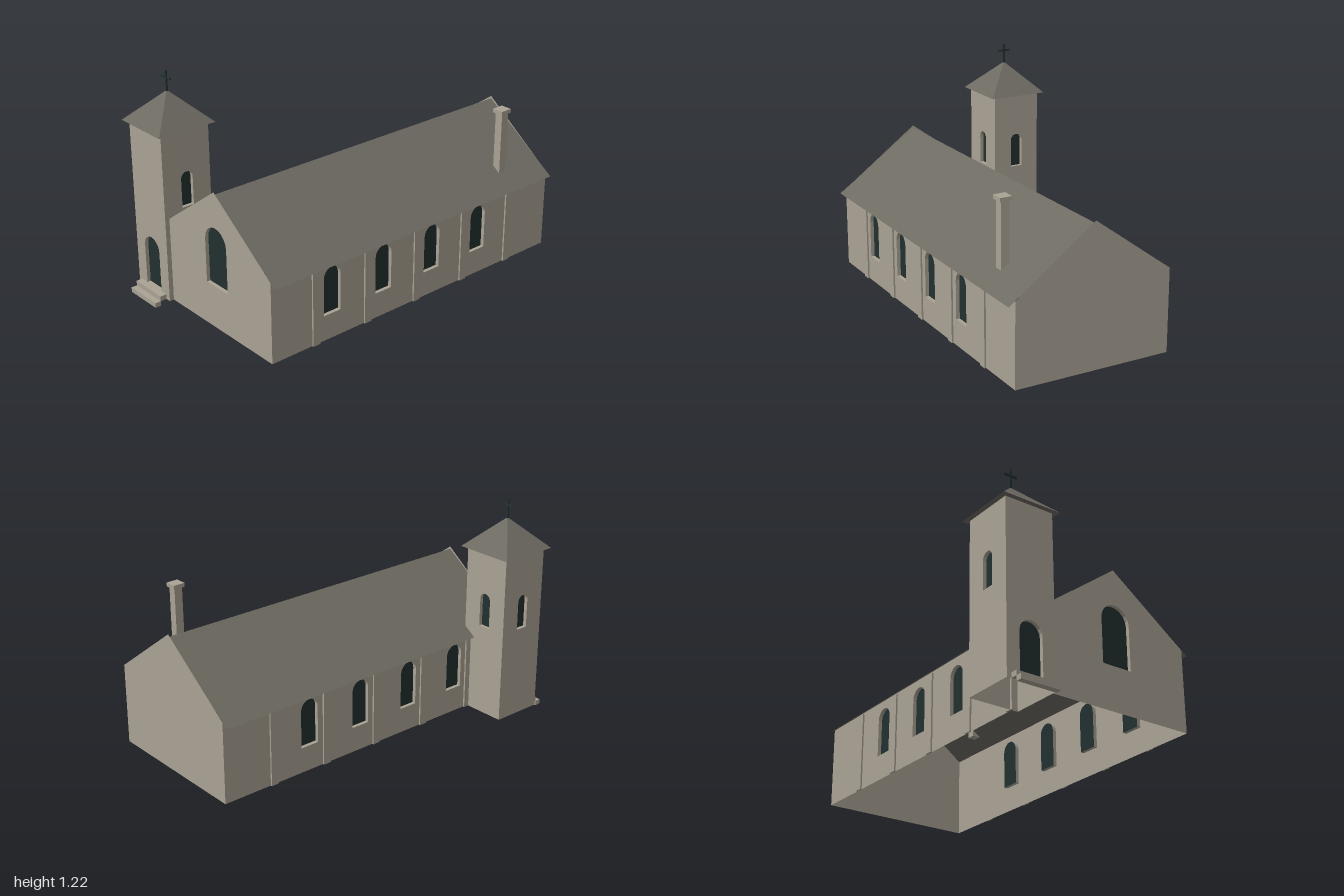
import * as THREE from 'three';

const wallMat = new THREE.MeshStandardMaterial({ name: 'stone', color: 0xaaa294, side: THREE.DoubleSide });
const roofMat = new THREE.MeshStandardMaterial({ name: 'roof slate', color: 0x6d6a61, side: THREE.DoubleSide });
const darkMat = new THREE.MeshStandardMaterial({ name: 'dark glass and iron', color: 0x22302f, side: THREE.DoubleSide });

const BASE = 0.026, EAVE = 0.465, RIDGE_X = 0.115;
const FRONT = 0.905, BACK = -1, RIGHT = 0.54, LEFT = -0.31;
const TX = -0.4125, TZ = 0.7875, TW = 0.1375, TD = 0.1425, TOP = 0.946; // tower

function mesh(parent, name, geometry, material) {
  const m = new THREE.Mesh(geometry, material);
  m.name = name;
  parent.add(m);
  return m;
}

// Box given by its minimum and maximum corners
function box(parent, name, a, b, material) {
  const m = mesh(parent, name, new THREE.BoxGeometry(b[0] - a[0], b[1] - a[1], b[2] - a[2]), material);
  m.position.set((a[0] + b[0]) / 2, (a[1] + b[1]) / 2, (a[2] + b[2]) / 2);
  return m;
}

// Outline of a round-headed opening: centre u, sill, head, width
function archPoints([u, sill, head, width]) {
  const r = width / 2, pts = [new THREE.Vector2(u - r, sill), new THREE.Vector2(u + r, sill)];
  for (let i = 0; i <= 10; i++) {
    const t = (i / 10) * Math.PI;
    pts.push(new THREE.Vector2(u + r * Math.cos(t), head - r + r * Math.sin(t)));
  }
  return pts;
}

// Strip running back from an opening's edge
function revealGeometry(pts, depth) {
  const pos = [];
  pts.forEach((p, i) => {
    const q = pts[(i + 1) % pts.length];
    pos.push(p.x, p.y, 0, p.x, p.y, -depth, q.x, q.y, 0);
    pos.push(q.x, q.y, 0, p.x, p.y, -depth, q.x, q.y, -depth);
  });
  const g = new THREE.BufferGeometry();
  g.setAttribute('position', new THREE.Float32BufferAttribute(pos, 3));
  g.computeVertexNormals();
  return g;
}

// Thin wall facing local +z, with recessed openings
function wall(parent, name, outline, openings, position, turn, pane = 'window') {
  const g = new THREE.Group(), depth = 0.02;
  g.name = name;
  g.position.set(...position);
  g.rotation.y = turn;
  const shape = new THREE.Shape(outline.map(p => new THREE.Vector2(...p)));
  for (const o of openings) {
    const pts = archPoints(o);
    shape.holes.push(new THREE.Path(pts));
    mesh(g, pane + 'Reveal', revealGeometry(pts, depth), wallMat);
    mesh(g, pane, new THREE.ShapeGeometry(new THREE.Shape(pts)), darkMat).position.z = -depth;
  }
  mesh(g, name + 'Surface', new THREE.ShapeGeometry(shape), wallMat);
  parent.add(g);
}

const rect = (u0, u1, top) => [[u0, BASE], [u1, BASE], [u1, top], [u0, top]];

function buildNave(parent) {
  const nave = new THREE.Group();
  nave.name = 'nave';
  parent.add(nave);

  // Gables; the front one stops at the tower
  const towerEdge = TX + TW;
  wall(nave, 'frontGable', [[towerEdge, BASE], [RIGHT, BASE], [RIGHT, EAVE], [RIDGE_X, 0.776], [towerEdge, 0.49]],
    [[RIDGE_X, 0.26, 0.584, 0.17]], [0, 0, FRONT], 0);
  wall(nave, 'backGable', [[-RIGHT, BASE], [-LEFT, BASE], [-LEFT, EAVE], [-RIDGE_X, 0.776], [-RIGHT, EAVE]],
    [], [0, 0, BACK], Math.PI);

  // Long walls with four windows each
  const windowZ = [0, 1, 2, 3].map(i => 0.53 - i * 0.335);
  const windows = s => windowZ.map(z => [s * z, 0.164, 0.42, 0.106]);
  wall(nave, 'rightWall', rect(-FRONT, -BACK, EAVE), windows(-1), [RIGHT, 0, 0], Math.PI / 2);
  wall(nave, 'leftWall', rect(BACK, TZ - TD, EAVE), windows(1), [LEFT, 0, 0], -Math.PI / 2);

  // Pilasters
  for (let i = 0; i < 5; i++) {
    const z = 0.636 - i * 0.3345;
    box(nave, 'rightPilaster', [RIGHT, BASE, z - 0.022], [RIGHT + 0.009, 0.455, z + 0.022], wallMat);
    box(nave, 'leftPilaster', [LEFT - 0.009, BASE, z - 0.022], [LEFT, 0.455, z + 0.022], wallMat);
  }

  // Two thin roof slopes
  const run = 0.46, rise = 0.319, ridgeY = 0.762;
  for (const s of [1, -1]) {
    const slope = new THREE.PlaneGeometry(Math.hypot(run, rise), FRONT - BACK).rotateX(-Math.PI / 2);
    const m = mesh(nave, s > 0 ? 'rightRoofSlope' : 'leftRoofSlope', slope, roofMat);
    m.rotation.z = -s * Math.atan2(rise, run);
    m.position.set(RIDGE_X + s * run / 2, ridgeY - rise / 2, (FRONT + BACK) / 2);
  }

  // Chimney
  box(nave, 'chimney', [0.426, 0.51, -0.747], [0.471, 0.852, -0.701], wallMat);
  box(nave, 'chimneyCap', [0.416, 0.852, -0.757], [0.48, 0.873, -0.691], wallMat);
}

function buildTower(parent) {
  const tower = new THREE.Group();
  tower.name = 'tower';
  parent.add(tower);

  // Four walls: door in front, belfry windows on the other sides
  const belfry = [[0, 0.525, 0.716, 0.07]];
  wall(tower, 'towerFront', rect(-TW, TW, TOP), [[0, 0.054, 0.341, 0.13]], [TX, 0, TZ + TD], 0, 'door');
  wall(tower, 'towerBack', rect(-TW, TW, TOP), belfry, [TX, 0, TZ - TD], Math.PI);
  wall(tower, 'towerRight', rect(-TD, TD, TOP), belfry, [TX + TW, 0, TZ], Math.PI / 2);
  wall(tower, 'towerLeft', rect(-TD, TD, TOP), belfry, [TX - TW, 0, TZ], -Math.PI / 2);

  // Pyramid roof
  const pyramid = new THREE.ConeGeometry(Math.SQRT2, 0.165, 4).rotateY(Math.PI / 4).scale(0.165, 1, 0.169)
    .toNonIndexed();
  pyramid.computeVertexNormals();
  mesh(tower, 'towerRoof', pyramid, roofMat).position.set(TX, TOP + 0.0825, TZ);

  // Cross
  box(tower, 'crossPost', [TX - 0.005, 1.1, TZ - 0.004], [TX + 0.005, 1.215, TZ + 0.004], darkMat);
  box(tower, 'crossBar', [TX - 0.037, 1.173, TZ - 0.004], [TX + 0.037, 1.183, TZ + 0.004], darkMat);

  // Entrance steps
  box(tower, 'upperStep', [-0.525, 0.027, TZ + TD], [-0.304, 0.054, 0.967], wallMat);
  box(tower, 'lowerStep', [-0.525, 0, 0.967], [-0.304, 0.027, 1], wallMat);
}

export function createModel() {
  const church = new THREE.Group();
  church.name = 'church';
  buildNave(church);
  buildTower(church);
  return church;
}
